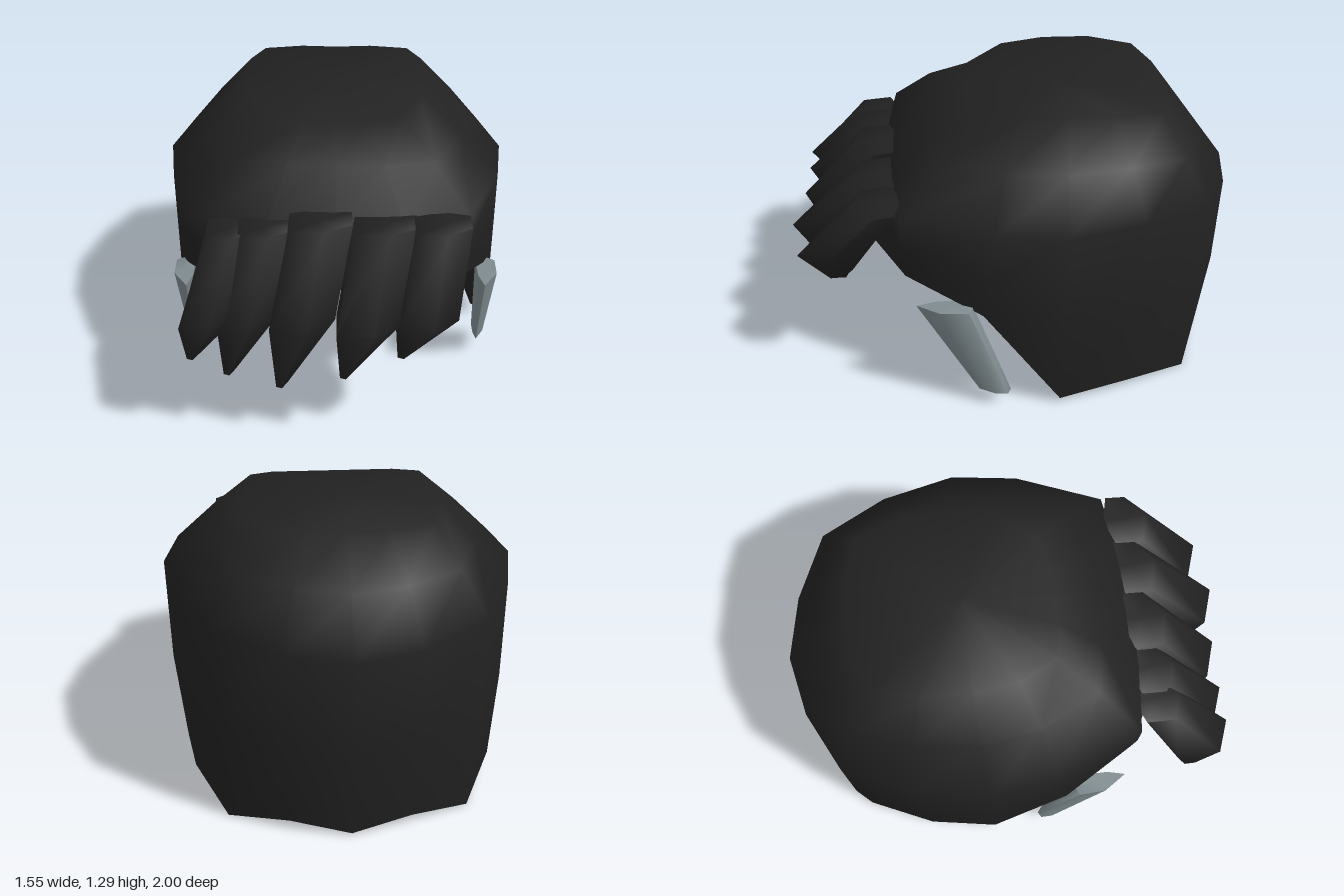
import * as THREE from 'three';
import { mergeVertices, toCreasedNormals } from 'three/addons/utils/BufferGeometryUtils.js';

// Skin a stack of closed rings, listed top to bottom, clockwise seen from above.
function loft(rings, crease) {
  const n = rings[0].length, index = [];
  for (let r = 0; r < rings.length - 1; r++) {
    for (let c = 0; c < n; c++) {
      const d = (c + 1) % n;
      const a = r * n + c, b = r * n + d, e = a + n, f = b + n;
      index.push(a, b, f, a, f, e);
    }
  }
  let g = new THREE.BufferGeometry();
  g.setAttribute('position', new THREE.Float32BufferAttribute(rings.flat(2), 3));
  g.setIndex(index);
  g = mergeVertices(g, 1e-4);
  if (crease) return toCreasedNormals(g, crease);
  g.computeVertexNormals();
  return g;
}

// Close both ends of a stack with a point at the ring's middle.
const middle = ring => {
  const m = [0, 1, 2].map(k => ring.reduce((s, p) => s + p[k], 0) / ring.length);
  return ring.map(() => m);
};
const capped = rings => [middle(rings[0]), ...rings, middle(rings[rings.length - 1])];

const mix = (p, q, t, ty) => [
  p[0] + (q[0] - p[0]) * t, p[1] + (q[1] - p[1]) * ty, p[2] + (q[2] - p[2]) * t];
// Complete a half ring (back to front on +x) with its mirror image.
const whole = half => [...half, ...half.slice(1, -1).reverse().map(([x, y, z]) => [-x, y, z])];

// Outside and lining of the cap, from half rings running back to front.
function capGeometries() {
  const crown = [[0, 1.255, -.68], [.17, 1.26, -.68], [.35, 1.27, -.62], [.41, 1.29, -.42], [.41, 1.295, -.2],
    [.38, 1.285, 0], [.28, 1.24, .17], [.14, 1.23, .2], [0, 1.23, .2]];
  const widest = [[0, .85, -1], [.28, .87, -.94], [.56, .92, -.8], [.7, .95, -.5], [.775, .95, -.17],
    [.73, .95, .13], [.57, .95, .51], [.28, .95, .55], [0, .95, .56]];
  const hem = [[0, .015, -.95], [.26, .05, -.89], [.52, .005, -.77], [.67, .07, -.47], [.72, .035, -.16],
    [.72, .54, .18], [.55, .65, .5], [.3, .69, .64], [0, .69, .68]];
  const outer = [
    widest.map(() => [0, 1.285, -.2]),
    crown,
    crown.map((p, i) => mix(p, widest[i], .5, i > 5 ? .4 : .47)),
    widest,
    widest.map((p, i) => mix(p, hem[i], .2, .52)),
  ];
  const inset = ring => ring.map(([x, y, z]) =>
    [x * .965, .5 + (y - .5) * .97, -.2 + (z + .2) * .965]);
  const tuck = inset(hem);
  return {
    outside: loft([...outer, hem, tuck].map(whole)),
    lining: loft([tuck, ...outer.map(inset).reverse()].map(whole)),
  };
}

// A fringe lock: thick at the roots, bent forward, narrowing to a blunt tip.
function lockGeometry({ top, y, mid, tip, out }) {
  const ring = (x0, x1, spec) => spec.map(([u, py, z]) => [x0 + (x1 - x0) * u, py, z]);
  const root = ring(top[0], top[1],
    [[0, y, .54], [.5, y, .5], [1, y, .53], [1, y - .01, .62], [.55, y, .7], [0, y - .01, .67]]);
  const bend = ring(mid[0], mid[1],
    [[0, .62, out - .24], [.5, .64, out - .26], [1, .66, out - .24],
      [1, .67, out - .1], [.6, .68, out], [0, .65, out - .05]]);
  const end = ring(tip[0] - .02, tip[0] + .03,
    [[0, tip[1], out - .18], [.5, tip[1], out - .19], [1, tip[1] + .02, out - .18],
      [1, tip[1] + .02, out - .14], [.5, tip[1], out - .12], [0, tip[1], out - .13]]);
  return loft(capped([root, bend, end]), 1.4);
}

export function createModel() {
  const model = new THREE.Group();
  model.name = 'hair';
  const dark = new THREE.MeshStandardMaterial({ color: 0x212121 });
  dark.name = 'charcoal hair';
  const grey = new THREE.MeshStandardMaterial({ color: 0x7f8b8f });
  grey.name = 'grey strand';
  const add = (name, geometry, material) => {
    const mesh = new THREE.Mesh(geometry, material);
    mesh.name = name;
    model.add(mesh);
  };

  const cap = capGeometries();
  add('hairCap', cap.outside, dark);
  add('hairCapLining', cap.lining, dark);

  // Fringe, from the model's right to its left
  [
    { top: [-.53, -.33], y: .95, mid: [-.63, -.4], tip: [-.6, .44], out: .95 },
    { top: [-.4, -.17], y: .955, mid: [-.475, -.24], tip: [-.45, .36], out: .95 },
    { top: [-.19, .07], y: .98, mid: [-.265, 0], tip: [-.23, .3], out: .96 },
    { top: [.08, .34], y: .965, mid: [.005, .26], tip: [.04, .38], out: 1 },
    { top: [.33, .565], y: .965, mid: [.25, .5], tip: [.28, .46], out: .965 },
  ].forEach((lock, i) => add('fringeLock' + (i + 1), lockGeometry(lock), dark));

  // Grey strands in front of the ears
  const strand = [
    [[.64, .57, .25], [.69, .57, .22], [.73, .565, .24], [.725, .57, .36], [.66, .57, .46], [.64, .57, .38]],
    [[.67, .09, .08], [.695, .09, .06], [.72, .085, .075], [.72, .09, .13], [.68, .09, .2], [.67, .09, .15]],
  ];
  const mirrored = strand.map(ring => ring.map(([x, y, z]) => [-x, y, z]).reverse());
  add('leftStrand', loft(capped(strand), 1.25), grey);
  add('rightStrand', loft(capped(mirrored), 1.25), grey);
  return model;
}
